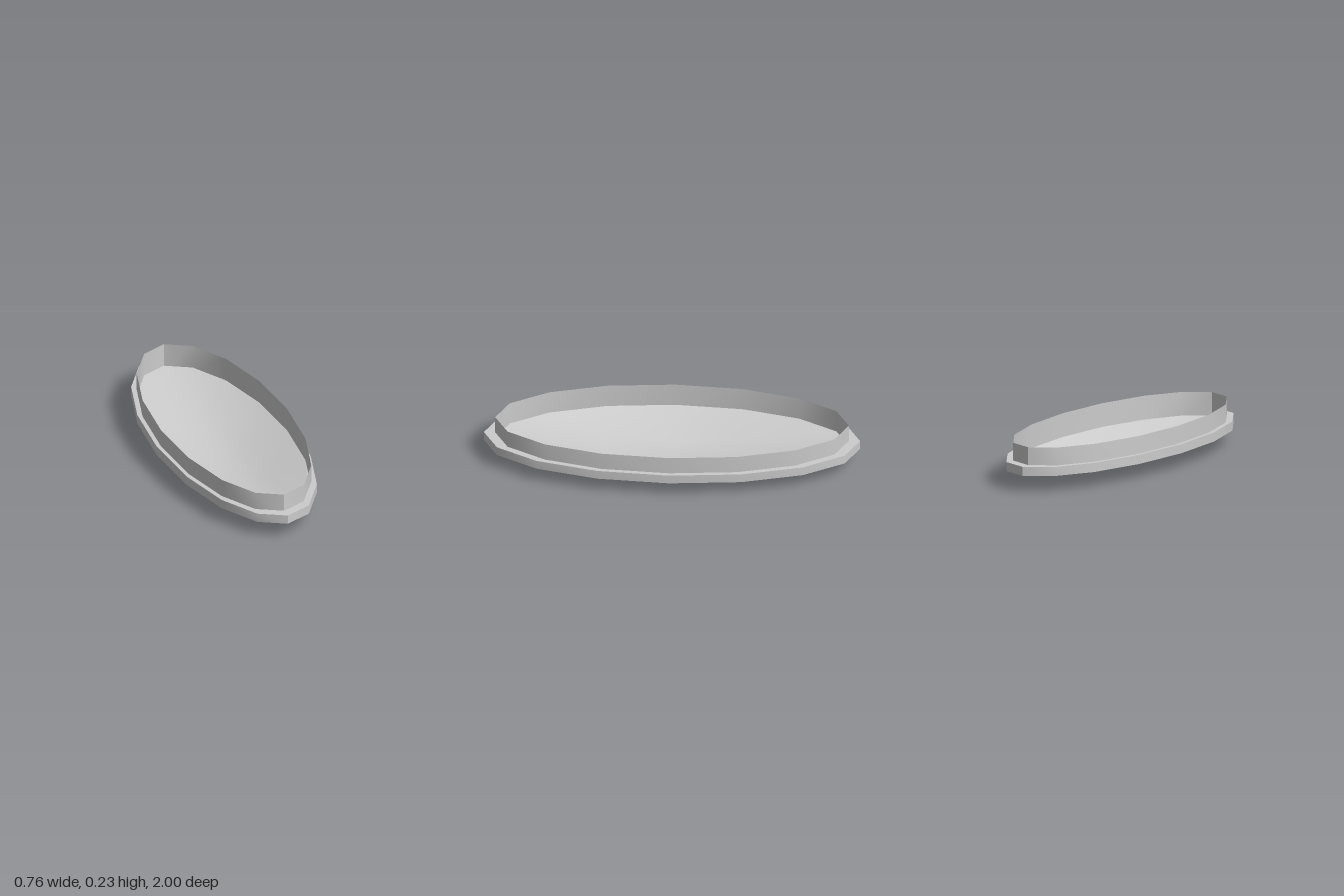
import * as THREE from 'three';
import { toCreasedNormals } from 'three/addons/utils/BufferGeometryUtils.js';

const WIDTH = 0.38; // half width of the oval; its half length is 1
const INNER = 0.94; // inner oval relative to the outer one

function addPart(group, name, geometry) {
  const material = new THREE.MeshStandardMaterial({ color: 0xcccccc, side: THREE.DoubleSide });
  const mesh = new THREE.Mesh(geometry, material);
  mesh.name = name;
  group.add(mesh);
}

// 16-sided oval ring swept from a [radius, height] profile
function ovalRing(profile) {
  const points = profile.map(([r, y]) => new THREE.Vector2(r, y));
  const geometry = new THREE.LatheGeometry(points, 16);
  geometry.scale(WIDTH, 1, 1);
  return toCreasedNormals(geometry, 0.7);
}

// Shallow bowl: a 4 x 4 grid whose border is bent onto the inner oval
function bowl() {
  const geometry = new THREE.PlaneGeometry(4, 4, 4, 4);
  geometry.rotateX(-Math.PI / 2);
  const pos = geometry.attributes.position;
  for (let n = 0; n < pos.count; n++) {
    const i = Math.round(pos.getX(n));
    const j = Math.round(pos.getZ(n));
    let x = i * 0.36;
    let z = j * 0.36;
    let y = [0, 0.011, 0.031][Math.abs(i) + Math.abs(j)];
    if (Math.abs(i) === 2) {
      x = Math.sign(i) * INNER * Math.cos(j * Math.PI / 8);
      z = INNER * Math.sin(j * Math.PI / 8);
      y = 0.1;
    } else if (Math.abs(j) === 2) {
      x = INNER * Math.sin(i * Math.PI / 8);
      z = Math.sign(j) * INNER * Math.cos(i * Math.PI / 8);
      y = 0.1;
    }
    pos.setXYZ(n, x * WIDTH, y, z);
  }
  geometry.computeVertexNormals();
  return geometry;
}

export function createModel() {
  const group = new THREE.Group();
  group.name = 'ovalDish';
  // Flange with a slightly sloping underside
  addPart(group, 'flange', ovalRing([[INNER, 0.077], [1, 0.083], [1, 0.132], [INNER, 0.132]]));
  // Thin upright wall
  addPart(group, 'rimWall', ovalRing([[INNER, 0.077], [INNER, 0.228]]));
  addPart(group, 'bowl', bowl());
  return group;
}
